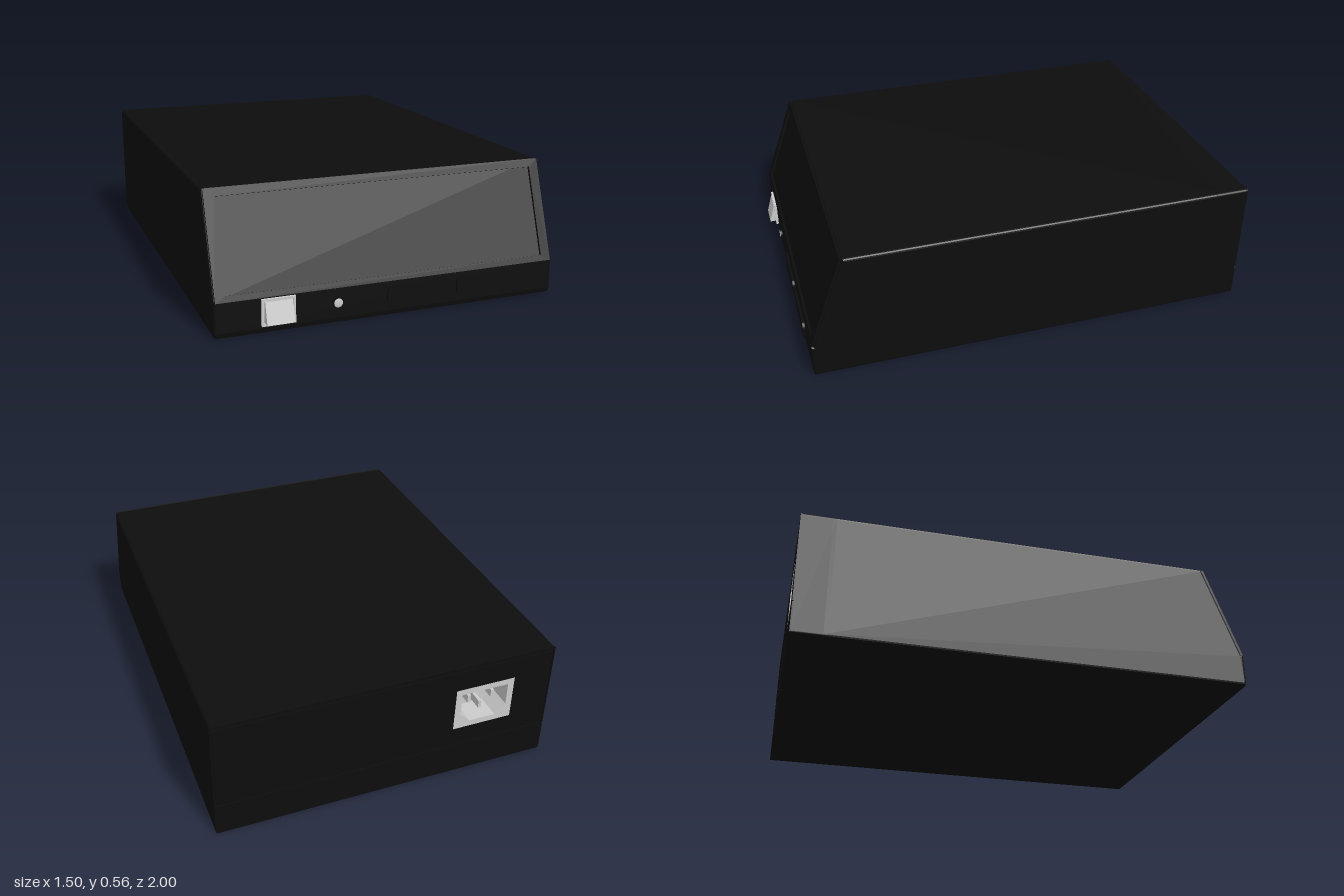
import * as THREE from 'three';

const black = new THREE.MeshStandardMaterial({ color: 0x0d0d0d });
const grey = new THREE.MeshStandardMaterial({ color: 0xcccccc });

// Closed outline from corner points
function poly(points, Type = THREE.Shape) {
  return new Type(points.map(([x, y]) => new THREE.Vector2(x, y)));
}

function rect(x0, y0, x1, y1, Type = THREE.Shape) {
  return poly([[x0, y0], [x1, y0], [x1, y1], [x0, y1]], Type);
}

function roundRect(x0, y0, x1, y1, r) {
  const s = new THREE.Shape();
  s.absarc(x1 - r, y0 + r, r, -Math.PI / 2, 0);
  s.absarc(x1 - r, y1 - r, r, 0, Math.PI / 2);
  s.absarc(x0 + r, y1 - r, r, Math.PI / 2, Math.PI);
  s.absarc(x0 + r, y0 + r, r, Math.PI, Math.PI * 1.5);
  s.closePath();
  return s;
}

// Extrude along z from z0 to z1
function slab(shape, z0, z1, hole) {
  if (hole) shape.holes.push(hole);
  return new THREE.ExtrudeGeometry(shape, { depth: z1 - z0, bevelEnabled: false, curveSegments: 6 })
    .translate(0, 0, z0);
}

// Extrude a (z, y) side profile along x, centred on cx
function sideExtrude(profile, width, cx, bevel) {
  const depth = width - 2 * bevel;
  return new THREE.ExtrudeGeometry(poly(profile), {
    depth, bevelEnabled: bevel > 0, bevelSize: bevel, bevelThickness: bevel,
    bevelOffset: -bevel, bevelSegments: 3,
  }).rotateY(-Math.PI / 2).translate(cx + depth / 2, 0, 0);
}

export function createModel() {
  const model = new THREE.Group();
  const add = (name, geometry, material = black, parent = model) => {
    const mesh = new THREE.Mesh(geometry, material);
    mesh.name = name;
    parent.add(mesh);
    return mesh;
  };

  // Main case with the sloped front set back behind its frame
  add('caseBody', sideExtrude([
    [-0.88, 0], [0.955, 0], [0.96, 0.02], [0.96, 0.15], [0.949, 0.15], [0.799, 0.56], [-0.88, 0.56],
  ], 1.5, 0, 0.012));

  // Raised border around the sloped front panel
  const slope = add('slopeFrame', slab(
    rect(-0.742, -0.004, 0.742, 0.437), -0.011, 0, rect(-0.7, 0.021, 0.7, 0.405, THREE.Path)));
  slope.position.set(0, 0.15, 0.96);
  slope.rotation.x = -Math.atan2(0.15, 0.41);

  // Rear of the case, with an opening for the power inlet
  const inlet = [-0.57, 0.24, -0.3, 0.445];
  add('caseRear', slab(roundRect(-0.75, 0, 0.75, 0.56, 0.012), -0.994, -0.85, rect(...inlet, THREE.Path)));
  add('rearLowerPlate', slab(roundRect(-0.75, 0, 0.75, 0.147, 0.01), -1, -0.994));
  add('rearUpperPlate', slab(rect(-0.74, 0.153, 0.74, 0.54), -1, -0.994, rect(...inlet, THREE.Path)));
  add('rearTopEdge', slab(roundRect(-0.75, 0.546, 0.75, 0.56, 0.006), -1, -0.994));
  for (const s of [-1, 1]) {
    add('rearSideEdge', slab(rect(s * 0.7475 - 0.0025, 0.147, s * 0.7475 + 0.0025, 0.55), -1, -0.994));
  }

  // Power inlet: housing with cut lower corners, floor and three blades
  const socket = new THREE.Group();
  socket.name = 'powerInlet';
  socket.position.set(-0.435, 0.3425, 0);
  model.add(socket);
  const opening = poly([
    [-0.06, -0.075], [0.06, -0.075], [0.107, -0.03], [0.107, 0.075], [-0.107, 0.075], [-0.107, -0.03],
  ], THREE.Path);
  add('inletHousing', slab(rect(-0.135, -0.1025, 0.135, 0.1025), -1, -0.89, opening), grey, socket);
  add('inletFloor', slab(rect(-0.13, -0.1, 0.13, 0.1), -0.89, -0.88), grey, socket);
  for (const [x, y] of [[-0.055, 0.018], [0.055, 0.018], [0, -0.025]]) {
    add('inletBlade', new THREE.BoxGeometry(0.014, 0.036, 0.08).translate(x, y, -0.93), grey, socket);
  }

  // Power switch: bezel and wedge-shaped rocker
  add('switchBezel', slab(
    rect(-0.56, 0.03, -0.42, 0.142), 0.955, 0.972, rect(-0.55, 0.04, -0.43, 0.132, THREE.Path)), grey);
  add('switchRocker', sideExtrude([
    [0.955, 0.043], [1, 0.043], [0.974, 0.13], [0.955, 0.13],
  ], 0.114, -0.49, 0), grey);

  // Indicator light: collar and lens
  add('indicatorCollar', new THREE.CylinderGeometry(0.023, 0.023, 0.015, 24)
    .rotateX(Math.PI / 2).translate(-0.24, 0.085, 0.961));
  add('indicatorLens', new THREE.SphereGeometry(0.019, 20, 8, 0, Math.PI * 2, 0, Math.PI / 2)
    .scale(1, 0.15, 1).rotateX(Math.PI / 2).translate(-0.24, 0.085, 0.9685), grey);

  // Two connector covers on the front
  for (const x of [-0.025, 0.29]) {
    add('connectorCover', slab(roundRect(x, 0.045, x + 0.27, 0.127, 0.025), 0.95, 0.97));
  }

  return model;
}
